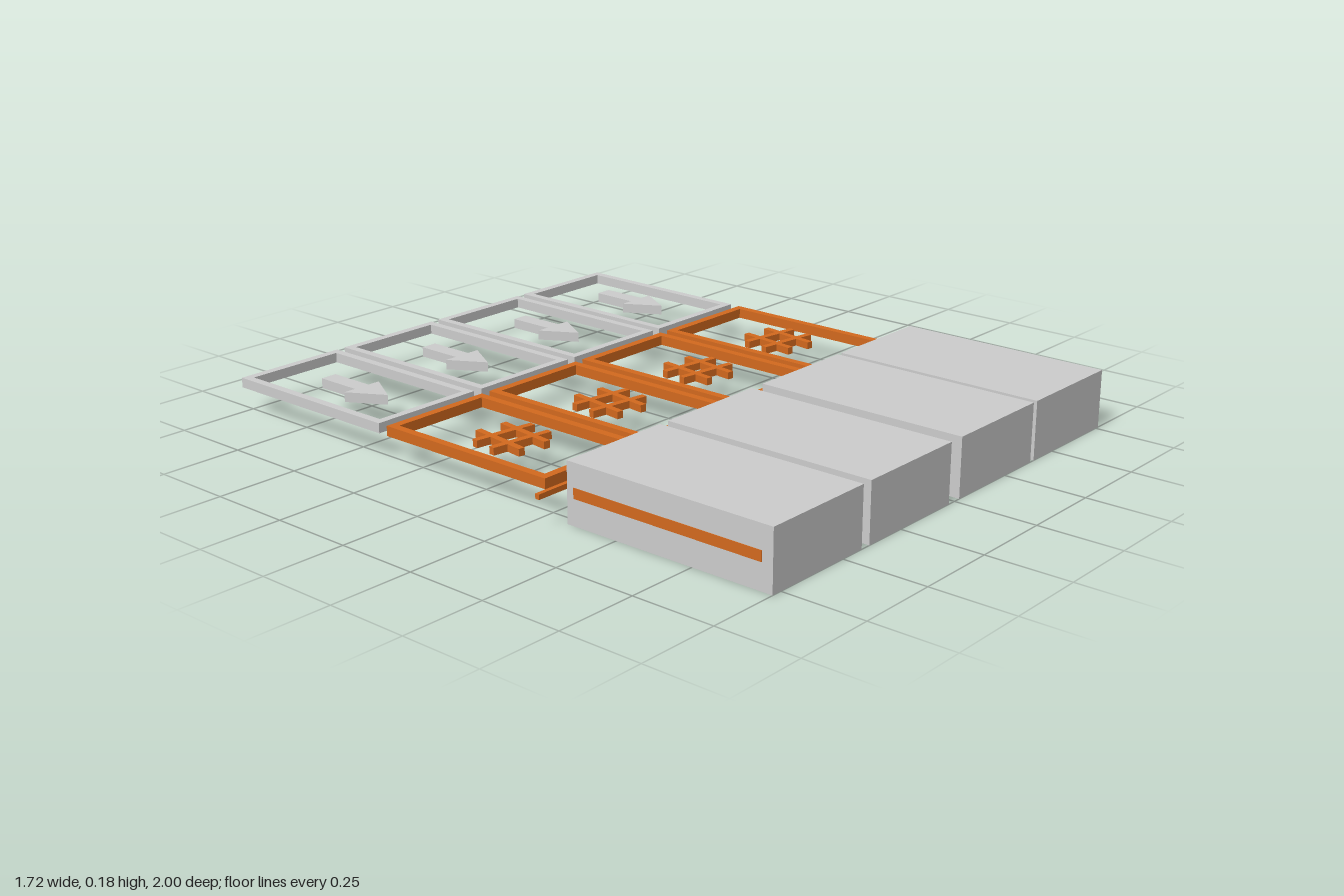
import * as THREE from 'three';

const grey = new THREE.MeshStandardMaterial({ color: 0xcccccc, flatShading: true });
const orange = new THREE.MeshStandardMaterial({ color: 0xd2691e, flatShading: true });
const MID = 0.092; // shared mid-height of all the thin parts

function box(name, w, h, d, x, y, z, mat) {
  const mesh = new THREE.Mesh(new THREE.BoxGeometry(w, h, d), mat);
  mesh.name = name;
  mesh.position.set(x, y, z);
  return mesh;
}

// Extrude a shape drawn in (x, z) into a slab centred on height 0
function slab(name, shape, h, mat) {
  const geo = new THREE.ExtrudeGeometry(shape, { depth: h, bevelEnabled: false });
  geo.translate(0, 0, -h / 2).rotateX(Math.PI / 2);
  const mesh = new THREE.Mesh(geo, mat);
  mesh.name = name;
  return mesh;
}

function rectPoints(w, d) {
  return [[-w, -d], [w, -d], [w, d], [-w, d]].map(([x, z]) => new THREE.Vector2(x / 2, z / 2));
}

// Flat rectangular frame with an open middle
function frame(name, x, z, mat) {
  const w = 0.366, d = 0.611, border = 0.025;
  const shape = new THREE.Shape(rectPoints(w, d));
  shape.holes.push(new THREE.Path(rectPoints(w - 2 * border, d - 2 * border)));
  const mesh = slab(name, shape, 0.03, mat);
  mesh.position.set(x, MID, z);
  return mesh;
}

// Solid arrow pointing towards +z
function arrow(x) {
  const pts = [[-0.026, -0.815], [0.026, -0.815], [0.026, -0.666], [0.066, -0.666],
    [0, -0.552], [-0.066, -0.666], [-0.026, -0.666]];
  const shape = new THREE.Shape(pts.map(([px, pz]) => new THREE.Vector2(px, pz)));
  const mesh = slab('arrow', shape, 0.03, grey);
  mesh.position.set(x, MID, 0);
  return mesh;
}

// Four crossed bars, slightly turned
function crossedBars(x, z) {
  const group = new THREE.Group();
  group.name = 'crossedBars';
  for (const s of [-1, 1]) {
    group.add(box('lengthBar', 0.02, 0.022, 0.198, s * 0.043, 0, 0, orange));
    group.add(box('crossBar', 0.198, 0.022, 0.02, 0, 0, s * 0.038, orange));
  }
  group.position.set(x, MID, z);
  group.rotation.y = -0.14;
  return group;
}

export function createModel() {
  const model = new THREE.Group();
  model.name = 'slotRows';
  const blockX = [-0.6015, -0.2075, 0.2035, 0.5825];

  for (let i = 0; i < 4; i++) {
    const x = -0.601 + i * 0.3957;
    // Back row: grey frames with arrows
    model.add(frame('backFrame', x, -0.6935, grey));
    model.add(arrow(-0.606 + i * 0.403));
    // Middle row: orange frames with crossed bars
    model.add(frame('middleFrame', x, -0.05, orange));
    model.add(crossedBars(x, -0.047));
    // Front row: blocks with a frame embedded in each
    model.add(box('block', 0.361, 0.176, 0.668, blockX[i], 0.088, 0.666, grey));
    model.add(frame('embeddedFrame', x, 0.661, orange));
  }

  // Long divider rod between the middle and front rows
  model.add(box('dividerRod', 1.722, 0.015, 0.013, 0, MID, 0.302, orange));
  return model;
}
